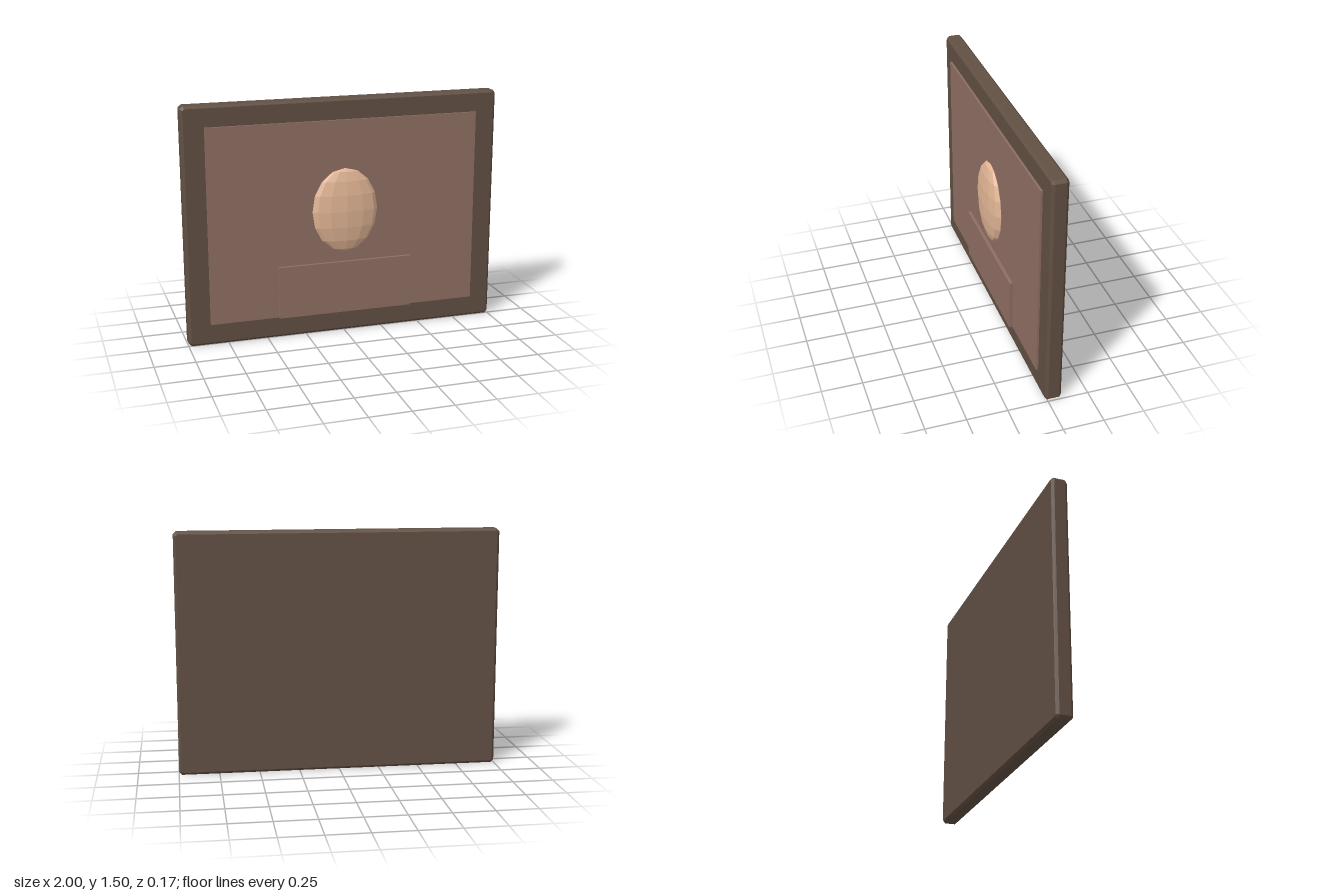
import * as THREE from 'three';

const mat = (name, color) => {
  const m = new THREE.MeshStandardMaterial({ color, flatShading: true });
  m.name = name;
  return m;
};

// Slab with all edges chamfered by c, centred on x and y, from z = 0 to z = d
function chamferedSlab(w, h, d, c) {
  const x = w / 2 - c, y = h / 2 - c;
  const k = c * 0.6; // small cut across each upright corner
  const shape = new THREE.Shape([
    [x, -y + k], [x, y - k], [x - k, y], [-x + k, y],
    [-x, y - k], [-x, -y + k], [-x + k, -y], [x - k, -y],
  ].map(([a, b]) => new THREE.Vector2(a, b)));
  const geo = new THREE.ExtrudeGeometry(shape, {
    depth: d - 2 * c, bevelEnabled: true, bevelSize: c, bevelThickness: c, bevelSegments: 1,
  });
  return geo.translate(0, 0, c);
}

export function createModel() {
  const group = new THREE.Group();
  const wood = mat('dark wood', 0x614f43);
  const brown = mat('warm brown', 0x8d6e63);
  const skin = mat('skin', 0xe0b494);

  const add = (name, geo, material, x, y, z) => {
    const mesh = new THREE.Mesh(geo, material);
    mesh.name = name;
    mesh.position.set(x, y, z);
    group.add(mesh);
    return mesh;
  };

  // Wooden frame
  add('frame', chamferedSlab(2, 1.5, 0.1, 0.016), wood, 0, 0.75, -0.085);

  // Canvas, standing slightly proud of the frame
  add('canvas', new THREE.BoxGeometry(1.724, 1.233, 0.06), brown, 0, 0.753, -0.002);

  // Shoulders of the portrait in low relief
  add('shoulders', new THREE.BoxGeometry(0.862, 0.333, 0.04), brown, 0, 0.303, 0.028);

  // Faceted oval head in low relief
  const head = add('head', new THREE.SphereGeometry(1, 12, 8), skin, 0, 0.802, 0.03);
  head.scale.set(0.21, 0.267, 0.055);

  return group;
}
